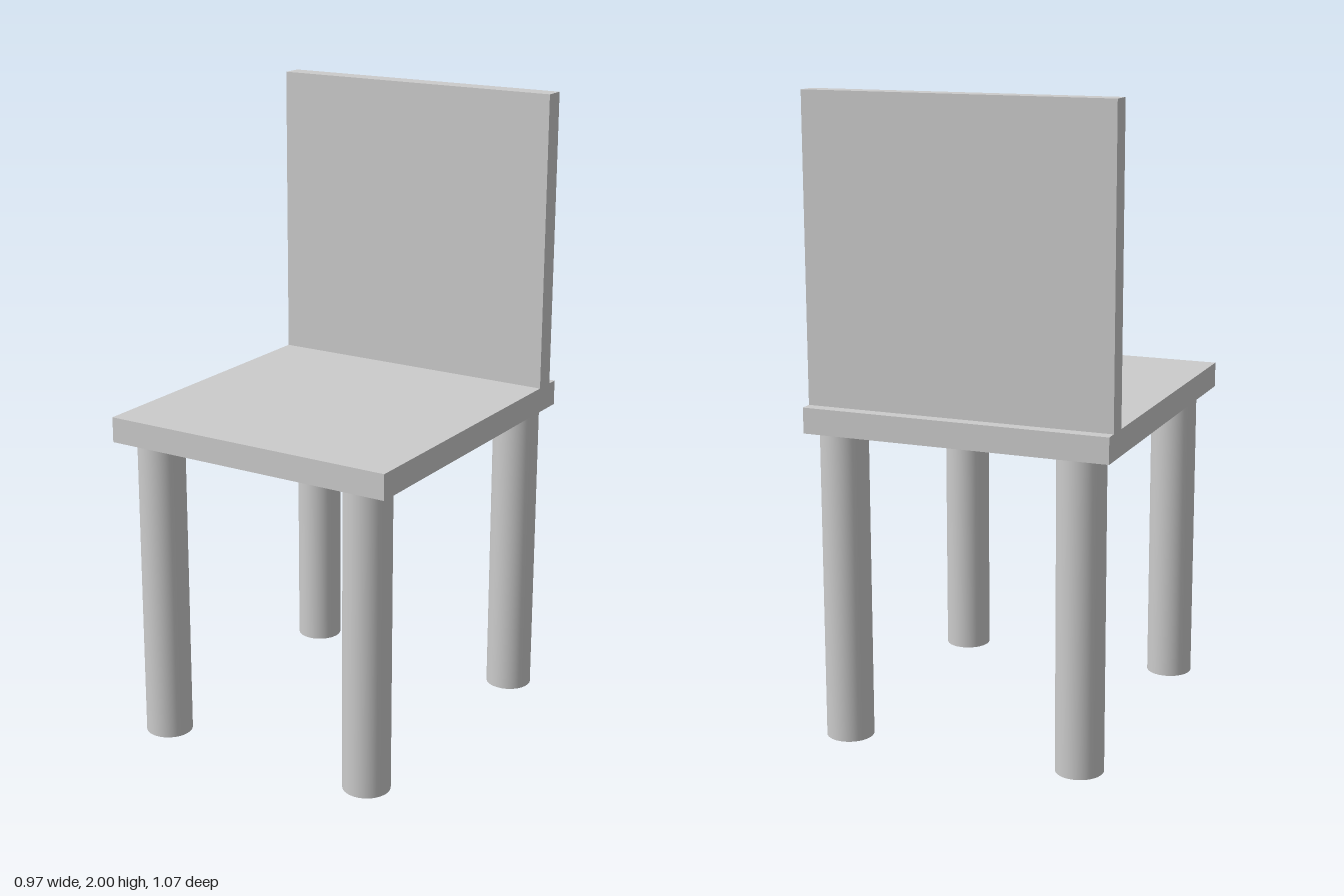
import * as THREE from 'three';

export function createModel() {
  const model = new THREE.Group();
  const material = new THREE.MeshStandardMaterial({ color: 0xcccccc });

  const add = (name, geometry, x, y, z) => {
    const mesh = new THREE.Mesh(geometry, material);
    mesh.name = name;
    mesh.position.set(x, y, z);
    model.add(mesh);
  };

  // Flat seat slab, with the backrest standing just inside its rear edge
  add('seat', new THREE.BoxGeometry(0.97, 0.08, 1.074), 0, 1.02, 0);
  add('backrest', new THREE.BoxGeometry(0.97, 0.94, 0.067), 0, 1.53, -0.465);

  // Four round legs, placed slightly unevenly
  const legHeight = 0.98;
  const legGeometry = new THREE.CylinderGeometry(0.074, 0.074, legHeight, 32);
  const legs = [
    ['frontLeftLeg', 0.37, 0.436],
    ['frontRightLeg', -0.373, 0.442],
    ['backLeftLeg', 0.39, -0.455],
    ['backRightLeg', -0.373, -0.452],
  ];
  for (const [name, x, z] of legs) add(name, legGeometry, x, legHeight / 2, z);

  return model;
}
